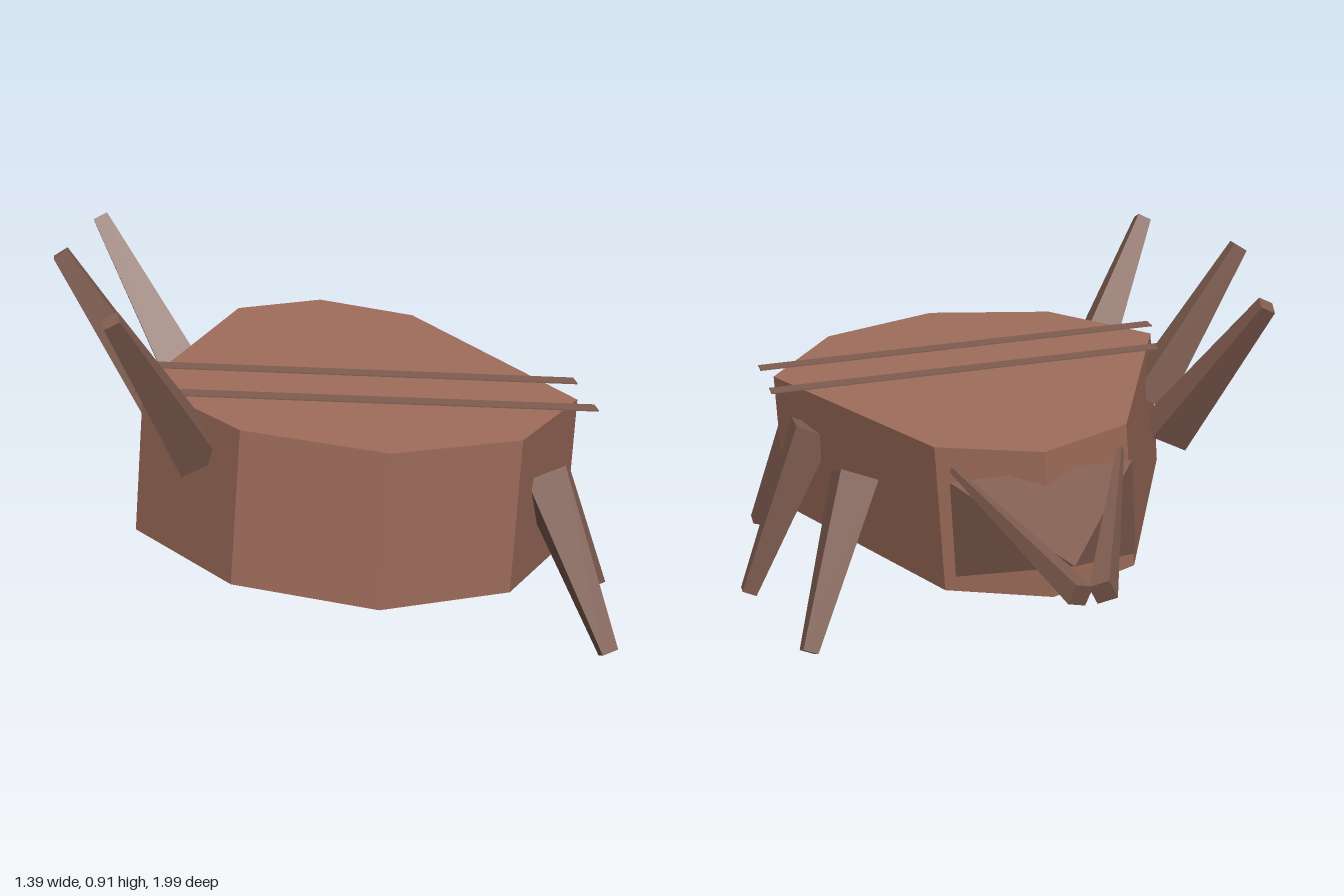
import * as THREE from 'three';

const shell = new THREE.MeshStandardMaterial({ color: 0xa06e5b });
shell.name = 'shellBrown';
const limb = new THREE.MeshStandardMaterial({ color: 0x805d50 });
limb.name = 'limbBrown';

// Mesh with faceted normals
function part(name, geometry, material) {
  const g = geometry.index ? geometry.toNonIndexed() : geometry;
  g.computeVertexNormals();
  const mesh = new THREE.Mesh(g, material);
  mesh.name = name;
  return mesh;
}

// Four-sided tapered bar from a to b, with square widths wa and wb
function bar(name, a, b, wa, wb) {
  const from = new THREE.Vector3(...a), to = new THREE.Vector3(...b);
  const dir = to.clone().sub(from);
  const g = new THREE.CylinderGeometry(wb * Math.SQRT1_2, wa * Math.SQRT1_2, dir.length(), 4);
  g.rotateY(Math.PI / 4);
  const mesh = part(name, g, limb);
  mesh.position.copy(from).add(to).multiplyScalar(0.5);
  mesh.quaternion.setFromUnitVectors(new THREE.Vector3(0, 1, 0), dir.normalize());
  return mesh;
}

export function createModel() {
  const model = new THREE.Group();
  model.name = 'beetle';

  // Tilted trunk carrying the shell, stripes and head
  const trunk = new THREE.Group();
  trunk.name = 'trunk';
  trunk.position.set(0.03, 0.407, 0);
  trunk.rotation.z = -0.066;
  model.add(trunk);

  // Shell: eight-sided slab
  const half = [[0, 1], [0.325, 0.85], [0.53, 0.46], [0.24, -0.4], [0, -0.55]];
  const outline = [...half, ...half.slice(1, 4).reverse().map(([x, z]) => [-x, z])];
  const height = 0.367;
  const slab = new THREE.ExtrudeGeometry(
    new THREE.Shape(outline.map(([x, z]) => new THREE.Vector2(x, z))),
    { depth: height, bevelEnabled: false });
  slab.rotateX(Math.PI / 2).translate(0, height / 2, 0);
  trunk.add(part('shell', slab, shell));

  // Thin stripes across the back
  for (const z of [0.293, 0.553]) {
    const stripe = part('backStripe', new THREE.BoxGeometry(1.11, 0.003, 0.057), limb);
    stripe.position.set(0.003, height / 2 + 0.005, z);
    trunk.add(stripe);
  }

  // Head: flattened four-sided pyramid pointing backwards
  const cone = new THREE.ConeGeometry(0.225 * Math.SQRT2, 0.325, 4);
  cone.rotateY(Math.PI / 4).scale(1, 1, 0.54).rotateX(-Math.PI / 2);
  const head = part('head', cone, limb);
  head.position.set(0, -0.009, -0.655);
  head.rotation.x = -0.053;
  trunk.add(head);

  // Pincers, thin at the root and thick where they meet
  for (const s of [1, -1]) {
    trunk.add(bar(s > 0 ? 'leftPincer' : 'rightPincer',
      [s * 0.208, 0.138, -0.455], [s * 0.026, -0.03, -0.98], 0.014, 0.05));
  }

  // Legs: one side reaches down, the other up
  const legs = [
    ['leftFrontLeg', [0.44, 0.44, 0.695], [0.585, 0.035, 0.825]],
    ['leftMiddleLeg', [0.495, 0.46, 0.262], [0.675, 0.012, 0.262]],
    ['leftRearLeg', [0.44, 0.44, -0.145], [0.585, 0.035, -0.3]],
    ['rightFrontLeg', [-0.37, 0.51, 0.69], [-0.567, 0.875, 0.865]],
    ['rightMiddleLeg', [-0.423, 0.494, 0.258], [-0.675, 0.905, 0.258]],
    ['rightRearLeg', [-0.37, 0.51, -0.145], [-0.567, 0.875, -0.345]],
  ];
  for (const [name, root, tip] of legs) model.add(bar(name, root, tip, 0.1, 0.04));

  return model;
}
